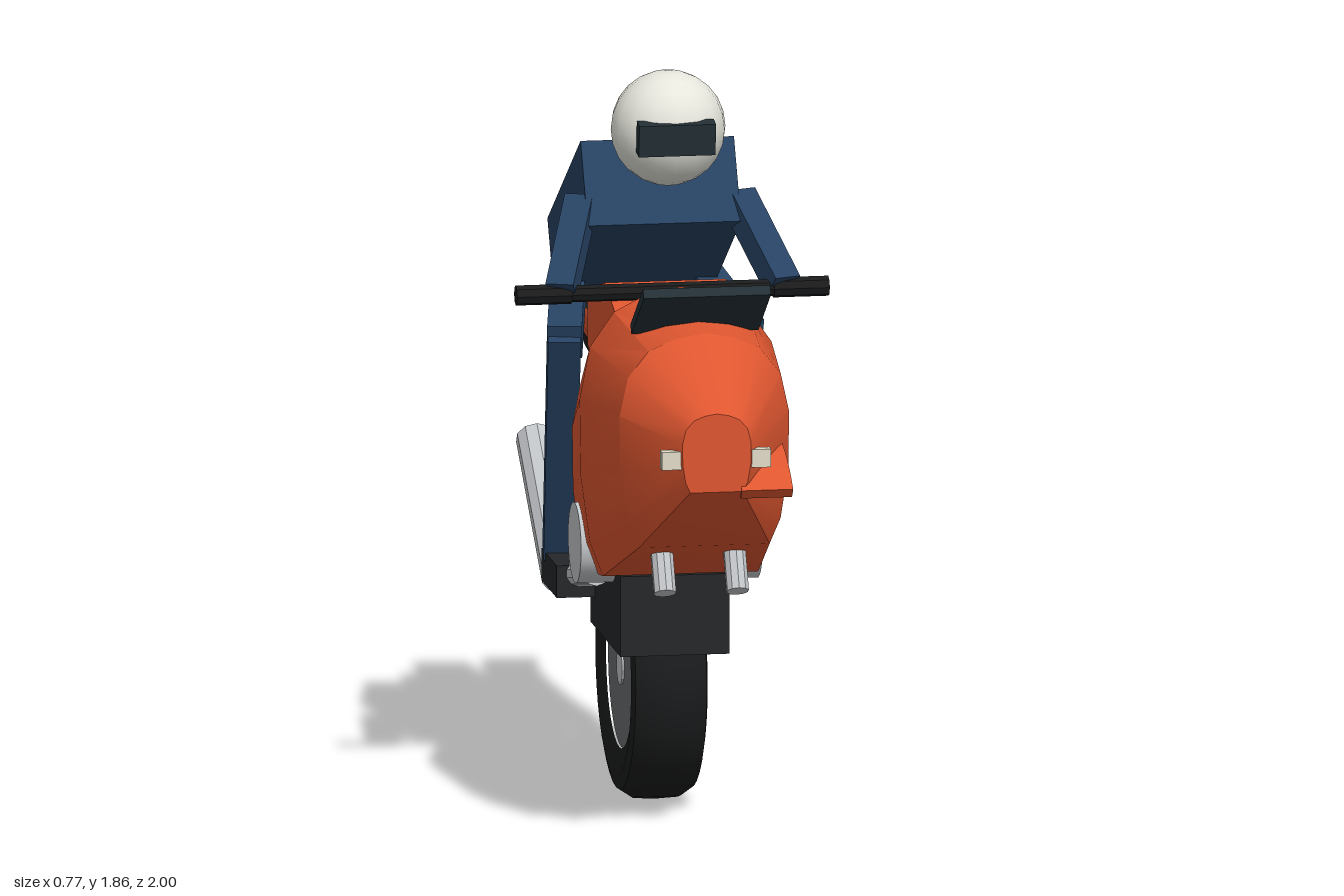
import * as THREE from 'three';
import { toCreasedNormals } from 'three/addons/utils/BufferGeometryUtils.js';

const mat = (color) => new THREE.MeshStandardMaterial({ color });
const V = (x, y, z) => new THREE.Vector3(x, y, z);

export function createModel() {
  const group = new THREE.Group();
  const orange = mat(0xde5630), blue = mat(0x274263), dark = mat(0x25272a), black = mat(0x1b1c1d);
  const silver = mat(0xc4c7ca), grey = mat(0x6c6e70), glass = mat(0x243036), seatGrey = mat(0x3c3f41);
  const white = mat(0xe6e6dd), red = mat(0xb01a2c), cream = mat(0xe2dcc8);

  const add = (name, geometry, material) => {
    const mesh = new THREE.Mesh(geometry, material);
    mesh.name = name;
    group.add(mesh);
    return mesh;
  };
  const box = (name, size, pos, material) => {
    const mesh = add(name, new THREE.BoxGeometry(...size), material);
    mesh.position.set(...pos);
    return mesh;
  };
  // Box stretched from point a to point b
  const beam = (name, a, b, w, h, material) => {
    const mesh = add(name, new THREE.BoxGeometry(w, h, a.distanceTo(b)), material);
    mesh.position.copy(a).lerp(b, 0.5);
    mesh.lookAt(b);
    return mesh;
  };
  // Cylinder stretched from point a to point b
  const rod = (name, a, b, r, material, sides = 10) => {
    const geo = new THREE.CylinderGeometry(r, r, a.distanceTo(b), sides).rotateX(Math.PI / 2);
    const mesh = add(name, toCreasedNormals(geo, 0.5), material);
    mesh.position.copy(a).lerp(b, 0.5);
    mesh.lookAt(b);
    return mesh;
  };
  // Side outline in (z, y) extruded across x
  const slab = (name, shape, width, x, material) => {
    const geo = new THREE.ExtrudeGeometry(shape, { depth: width, bevelEnabled: false, curveSegments: 14 });
    geo.translate(0, 0, -width / 2).rotateY(-Math.PI / 2).translate(x, 0, 0);
    return add(name, toCreasedNormals(geo, 0.5), material);
  };
  const outline = (pts) => new THREE.Shape(pts.map(([z, y]) => new THREE.Vector2(z, y)));
  const bothSides = (fn) => [1, -1].forEach(fn);

  // Half cross-section shared by the lofted body panels: [x ratio, y ratio]
  const half = [[0, 1], [0.35, 0.975], [0.66, 0.92], [0.9, 0.8], [1, 0.62], [0.99, 0.35], [0.9, 0.12], [0.77, 0]];
  const ring = [...half, ...half.slice(1).reverse().map(([x, y]) => [-x, y])];
  // Loft through sections [z, bottom, top, half width], front to back
  const loft = (name, sections, material) => {
    const pos = [], idx = [], n = ring.length;
    for (const [z, lo, hi, w] of sections)
      for (const [x, y] of ring) pos.push(x * w, lo + y * (hi - lo), z);
    const last = sections.length - 1;
    for (let s = 0; s < last; s++)
      for (let j = 0; j < n; j++) {
        const a = s * n + j, b = s * n + (j + 1) % n;
        idx.push(a, b, a + n, b, b + n, a + n);
      }
    [0, last].forEach((s, end) => {
      const [z, lo, hi] = sections[s];
      const c = pos.length / 3;
      pos.push(0, (lo + hi) / 2, z);
      for (let j = 0; j < n; j++) {
        const a = s * n + j, b = s * n + (j + 1) % n;
        idx.push(c, ...(end ? [a, b] : [b, a]));
      }
    });
    const geo = new THREE.BufferGeometry();
    geo.setAttribute('position', new THREE.Float32BufferAttribute(pos, 3));
    geo.setIndex(idx);
    return add(name, toCreasedNormals(geo, 0.5), material);
  };

  // Fairing, tank and tail
  loft('fairing', [[0.99, 0.95, 1.145, 0.085], [0.8, 0.78, 1.31, 0.21], [0.44, 0.64, 1.355, 0.25],
    [0.05, 0.575, 1.16, 0.205]], orange);
  slab('tank', outline([[0.4, 1.27], [0.21, 1.325], [-0.05, 1.26], [-0.05, 1.12], [0.1, 1.03], [0.4, 1.0]]), 0.3, 0, orange);
  loft('tail', [[-0.1, 1.03, 1.11, 0.08], [-0.28, 1.05, 1.19, 0.11], [-0.53, 1.08, 1.2, 0.115],
    [-0.7, 1.175, 1.265, 0.065]], orange);
  slab('seat', outline([[-0.25, 1.17], [-0.23, 1.215], [-0.625, 1.215], [-0.625, 1.135], [-0.53, 1.145],
    [-0.48, 1.175]]), 0.245, 0, seatGrey);
  box('tailLight', [0.13, 0.05, 0.035], [0, 1.2, -0.735], red);
  beam('windscreen', V(0, 1.295, 0.65), V(0, 1.42, 0.84), 0.315, 0.025, glass);
  bothSides((s) => box('headlight', [0.05, 0.045, 0.03], [s * 0.11, 1.03, 0.97], cream));

  // Curved fenders
  const fender = (name, z, from, to) => {
    const shape = new THREE.Shape();
    shape.absarc(z, 0.655, 0.39, from, to, false);
    shape.absarc(z, 0.655, 0.36, to, from, true);
    slab(name, shape, 0.127, 0.124, orange);
  };
  const deg = Math.PI / 180;
  fender('rearFender', -0.75, 17 * deg, 130 * deg);
  fender('frontFender', 0.75, 50 * deg, 163 * deg);

  // Wheel
  const hubY = 0.325;
  const tyre = [[0.2, -0.08], [0.27, -0.095], [0.3, -0.088], [0.322, -0.055], [0.325, 0], [0.322, 0.055],
    [0.3, 0.088], [0.27, 0.095], [0.2, 0.08]].map(([r, x]) => new THREE.Vector2(r, x));
  const tyreGeo = new THREE.LatheGeometry(tyre, 36).rotateZ(Math.PI / 2).translate(0, hubY, 0);
  add('tyre', toCreasedNormals(tyreGeo, 0.6), black);
  rod('wheelCore', V(-0.05, hubY, 0), V(0.04, hubY, 0), 0.203, dark, 36);
  rod('wheelDisc', V(-0.075, hubY, 0), V(-0.045, hubY, 0), 0.2, grey, 36);
  add('rim', new THREE.TorusGeometry(0.195, 0.01, 6, 36).rotateY(Math.PI / 2), silver).position.set(0.075, hubY, 0);
  rod('hub', V(-0.08, hubY, 0), V(0.085, hubY, 0), 0.045, silver, 12);
  for (let i = 0; i < 5; i++) {
    const a = Math.PI + i * 72 * deg;
    beam('spoke', V(0.06, hubY, 0), V(0.06, hubY + 0.195 * Math.sin(a), 0.195 * Math.cos(a)), 0.03, 0.038, silver);
  }

  // Engine, frame and exhaust
  box('engine', [0.27, 0.2, 0.455], [0, 0.52, 0.128], dark);
  box('crankcase', [0.25, 0.2, 0.25], [0, 0.675, 0.025], dark);
  box('cylinderHead', [0.2, 0.09, 0.12], [0, 0.805, 0.02], silver);
  rod('engineCover', V(-0.225, 0.68, 0.21), V(0.225, 0.68, 0.21), 0.1, silver, 20);
  rod('exhaustPipe', V(-0.17, 0.6, 0.2), V(-0.18, 0.51, -0.26), 0.032, silver);
  rod('silencer', V(-0.183, 0.5, -0.25), V(-0.183, 0.775, -0.645), 0.048, silver);
  bothSides((s) => {
    beam('swingarm', V(s * 0.097, 0.62, -0.05), V(s * 0.097, 0.655, -0.75), 0.055, 0.055, black);
    beam('subframe', V(s * 0.06, 1.01, -0.21), V(s * 0.06, 1.045, -0.54), 0.04, 0.035, black);
    rod('frameTube', V(s * 0.06, 1.08, -0.02), V(s * 0.06, 0.62, -0.2), 0.025, black, 8);
    rod('forkLeg', V(s * 0.09, 1.1, 0.51), V(s * 0.09, 0.655, 0.755), 0.028, silver);
    rod('grip', V(s * 0.25, 1.32, 0.31), V(s * 0.387, 1.32, 0.31), 0.025, black, 8);
  });
  rod('handlebar', V(-0.3, 1.32, 0.31), V(0.3, 1.32, 0.31), 0.021, black, 8);

  // Rider
  beam('torso', V(0, 1.27, -0.361), V(0, 1.56, 0.141), 0.38, 0.22, blue);
  bothSides((s) => {
    beam('arm', V(s * 0.195, 1.51, 0.12), V(s * 0.275, 1.325, 0.315), 0.07, 0.065, blue);
    beam('thigh', V(s * 0.15, 1.255, -0.33), V(s * 0.225, 1.15, 0.06), 0.085, 0.085, blue);
    beam('shin', V(s * 0.225, 1.17, 0.05), V(s * 0.19, 0.57, -0.235), 0.08, 0.075, blue);
    box('boot', [0.1, 0.08, 0.23], [s * 0.18, 0.535, -0.145], dark);
  });
  add('helmet', new THREE.SphereGeometry(0.142, 16, 12), white).position.set(0, 1.715, 0.25);
  const visor = box('visor', [0.19, 0.08, 0.04], [0, 1.712, 0.373], glass);
  visor.rotation.x = 0.15;

  return group;
}
